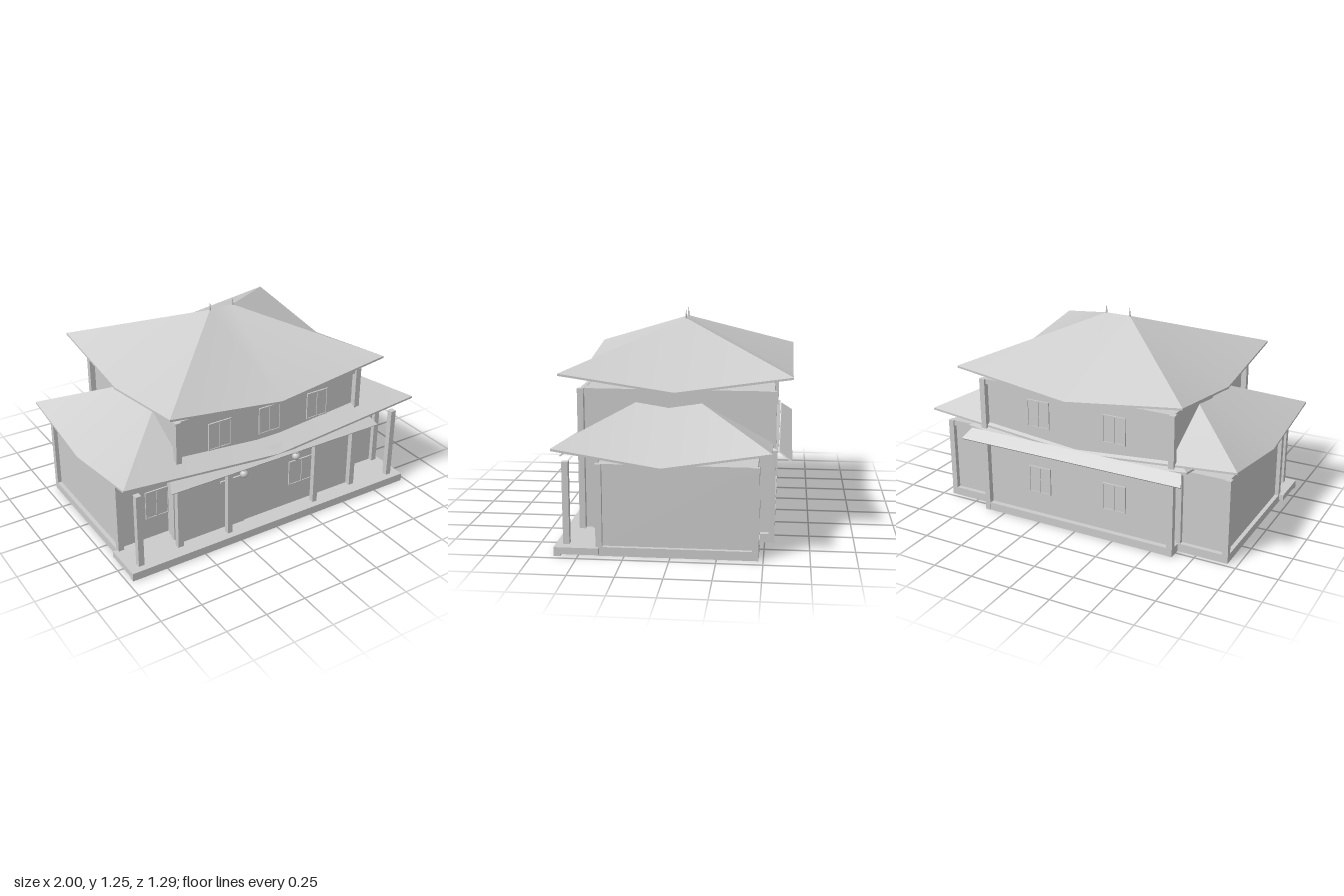
import * as THREE from 'three';

const material = new THREE.MeshStandardMaterial({ color: 0xcccccc });
const thin = new THREE.MeshStandardMaterial({ color: 0xcccccc, side: THREE.DoubleSide });

// Box given by its extents on each axis
function box(parent, name, x0, x1, y0, y1, z0, z1) {
  const mesh = new THREE.Mesh(new THREE.BoxGeometry(Math.abs(x1 - x0), y1 - y0, Math.abs(z1 - z0)), material);
  mesh.position.set((x0 + x1) / 2, (y0 + y1) / 2, (z0 + z1) / 2);
  mesh.name = name;
  parent.add(mesh);
  return mesh;
}

// Square post centred on x, z
function post(parent, name, x, z, y0, y1, w = 0.035) {
  return box(parent, name, x - w / 2, x + w / 2, y0, y1, z - w / 2, z + w / 2);
}

// Hip roof whose eaves dip in the middle of each side
function hipRoof(parent, name, { x, z0, z1, corner, dip, ridgeX, ridgeY, thick = 0.012 }) {
  const zc = (z0 + z1) / 2;
  const A = [-x, corner, z1], B = [x, corner, z1], C = [x, corner, z0], D = [-x, corner, z0];
  const R = [ridgeX, ridgeY, zc], L = [-ridgeX, ridgeY, zc];
  const sides = [
    { a: A, m: [0, dip, z1], b: B, top: [L, R] },
    { a: B, m: [x, dip, zc], b: C, top: [R] },
    { a: C, m: [0, dip, z0], b: D, top: [R, L] },
    { a: D, m: [-x, dip, zc], b: A, top: [L] },
  ];
  const group = new THREE.Group();
  group.name = name;
  const down = (p) => [p[0], p[1] - thick, p[2]];
  const add = (points, index, label) => {
    const g = new THREE.BufferGeometry();
    g.setAttribute('position', new THREE.Float32BufferAttribute(points.flat(), 3));
    g.setIndex(index);
    g.computeVertexNormals();
    const mesh = new THREE.Mesh(g, material);
    mesh.name = label;
    group.add(mesh);
  };
  for (const { a, m, b, top } of sides) {
    const points = [a, m, b, ...top];
    const index = top.length === 2 ? [0, 1, 3, 3, 1, 4, 1, 2, 4] : [0, 1, 3, 1, 2, 3];
    add(points, index, 'roofSlope');
    add(points.map(down), [...index].reverse(), 'roofUnderside');
    add([a, m, b, down(a), down(m), down(b)], [0, 3, 1, 1, 3, 4, 1, 4, 2, 2, 4, 5], 'eaveEdge');
  }
  parent.add(group);
}

// Two-pane window lying against a wall; dir is the way it faces along z
function windowUnit(parent, name, x, y0, y1, z, dir, w = 0.148) {
  const g = new THREE.Group();
  g.name = name;
  const h = w / 2, f = 0.007;
  box(g, 'windowPane', x - h, x + h, y0, y1, z - dir * 0.01, z + dir * 0.004);
  for (const o of [-h + f / 2, 0, h - f / 2])
    box(g, 'windowStile', x + o - f / 2, x + o + f / 2, y0, y1, z, z + dir * 0.009);
  for (const y of [y0, y1 - f])
    box(g, 'windowRail', x - h, x + h, y, y + f, z, z + dir * 0.009);
  parent.add(g);
}

export function createModel() {
  const model = new THREE.Group();
  model.name = 'house';

  // Floors, front deck and sill beams
  box(model, 'frontDeck', -0.97, 0.97, 0.012, 0.05, 0.55, 0.63);
  box(model, 'deckEdge', -0.97, 0.97, 0, 0.05, 0.595, 0.63);
  box(model, 'mainFloor', -0.62, 0.62, 0.035, 0.05, -0.53, 0.56);
  for (const z of [-0.535, 0.37, 0.535])
    box(model, 'crossSill', -0.635, 0.635, 0, 0.05, z - 0.0175, z + 0.0175);
  for (const x of [-0.305, 0.305]) box(model, 'deckBlock', x - 0.02, x + 0.02, 0, 0.04, 0.55, 0.6);

  // Main two-storey body
  const walls = 0.602;
  box(model, 'mainWalls', -walls, walls, 0.05, 0.86, -0.52, 0.52);
  for (const z of [-0.53, 0.53]) {
    box(model, 'topBeam', -0.62, 0.62, 0.83, 0.862, z - 0.012, z + 0.012);
    box(model, 'floorBeam', -0.62, 0.62, 0.475, 0.51, z - 0.012, z + 0.012);
  }

  for (const s of [-1, 1]) {
    // Main corner columns and side beams
    for (const z of [-0.5375, 0.5375]) post(model, 'mainColumn', s * 0.618, z, 0, 0.862);
    box(model, 'sideTopBeam', s * 0.6, s * 0.622, 0.83, 0.862, -0.53, 0.53);
    box(model, 'sideSill', s * 0.6, s * 0.635, 0, 0.05, -0.55, 0.55);

    // Side wing
    const wing = new THREE.Group();
    wing.name = s > 0 ? 'leftWing' : 'rightWing';
    box(wing, 'wingWalls', s * 0.6, s * 0.918, 0.05, 0.51, -0.447, 0.378);
    box(wing, 'wingFloor', s * 0.62, s * 0.93, 0.035, 0.05, -0.46, 0.39);
    box(wing, 'wingSideSill', s * 0.908, s * 0.943, 0, 0.05, -0.475, 0.405);
    box(wing, 'wingBackSill', s * 0.62, s * 0.943, 0, 0.05, -0.475, -0.44);
    box(wing, 'wingFrontSill', s * 0.62, s * 0.943, 0, 0.05, 0.37, 0.405);
    box(wing, 'wingSideBeam', s * 0.91, s * 0.93, 0.475, 0.51, -0.46, 0.39);
    box(wing, 'wingBackBeam', s * 0.62, s * 0.93, 0.475, 0.51, -0.465, -0.44);
    box(wing, 'wingFrontBeam', s * 0.62, s * 0.93, 0.475, 0.51, 0.37, 0.39);
    for (const z of [-0.4575, 0.3875]) post(wing, 'wingColumn', s * 0.925, z, 0.05, 0.51);
    post(wing, 'wingInnerColumn', s * 0.635, -0.4575, 0.05, 0.51, 0.03);
    windowUnit(wing, 'wingWindow', s * 0.675, 0.185, 0.365, 0.378, 1);

    // Side door opening onto the porch
    box(wing, 'sideDoor', s * 0.6, s * 0.61, 0.05, 0.43, 0.4, 0.445);
    box(wing, 'sideDoorFrame', s * 0.6, s * 0.62, 0.05, 0.46, 0.445, 0.48);
    box(wing, 'porchDeck', s * 0.62, s * 0.97, 0.012, 0.05, 0.385, 0.56);
    model.add(wing);

    // Porch posts
    post(model, 'porchCornerPost', s * 0.893, 0.5725, 0.05, 0.51);
    post(model, 'porchPost', s * 0.307, 0.5725, 0.05, 0.5, 0.032);

    // Wall lamps
    const lamp = new THREE.Group();
    lamp.name = 'wallLamp';
    const globe = new THREE.Mesh(new THREE.SphereGeometry(0.025, 12, 8), material);
    globe.name = 'lampGlobe';
    const cap = new THREE.Mesh(new THREE.CylinderGeometry(0.012, 0.012, 0.008, 8), material);
    cap.position.y = 0.024;
    cap.name = 'lampCap';
    lamp.add(globe, cap);
    box(lamp, 'lampArm', -0.004, 0.004, -0.004, 0.004, -0.03, 0);
    lamp.position.set(s * 0.185, 0.393, 0.545);
    model.add(lamp);

    // Back windows on both floors
    for (const [y0, y1] of [[0.185, 0.355], [0.61, 0.78]])
      windowUnit(model, 'backWindow', s * 0.25, y0, y1, -0.52, -1);

    // Pent roof strip between floors, front and back
    const width = 0.085, slope = Math.atan2(0.053, 0.075);
    const strip = new THREE.BoxGeometry(1.44, 0.008, width);
    const p = strip.attributes.position;
    for (let i = 0; i < p.count; i++) if (p.getZ(i) < 0) p.setX(i, p.getX(i) * 0.96);
    strip.computeVertexNormals();
    strip.rotateX(slope);
    const pent = new THREE.Mesh(strip, thin);
    pent.name = 'pentRoof';
    const holder = new THREE.Group();
    holder.name = s > 0 ? 'frontPentRoof' : 'backPentRoof';
    pent.position.set(0, 0.517, 0.608);
    holder.add(pent);
    if (s < 0) holder.rotation.y = Math.PI;
    model.add(holder);

    // Roof finials
    const finial = new THREE.Mesh(new THREE.ConeGeometry(0.007, 0.055, 8), material);
    finial.position.set(s * 0.078, 1.224, 0);
    finial.name = 'finial';
    model.add(finial);
  }

  // Front door and windows
  box(model, 'door', -0.295, -0.168, 0.05, 0.37, 0.515, 0.527);
  box(model, 'doorLintel', -0.335, -0.165, 0.365, 0.377, 0.515, 0.53);
  windowUnit(model, 'frontWindow', 0.245, 0.185, 0.35, 0.52, 1, 0.19);
  for (const x of [-0.338, 0, 0.338]) windowUnit(model, 'upperWindow', x, 0.61, 0.78, 0.52, 1);

  // Roofs: top, lower, and the small one tucked between the floors
  hipRoof(model, 'upperRoof', { x: 0.72, z0: -0.645, z1: 0.645, corner: 0.957, dip: 0.863, ridgeX: 0.078, ridgeY: 1.2 });
  hipRoof(model, 'lowerRoof', { x: 1, z0: -0.54, z1: 0.627, corner: 0.603, dip: 0.511, ridgeX: 0.417, ridgeY: 0.868 });
  hipRoof(model, 'innerRoof', { x: 0.72, z0: -0.568, z1: 0.568, corner: 0.555, dip: 0.466, ridgeX: 0.15, ridgeY: 0.7 });

  return model;
}
